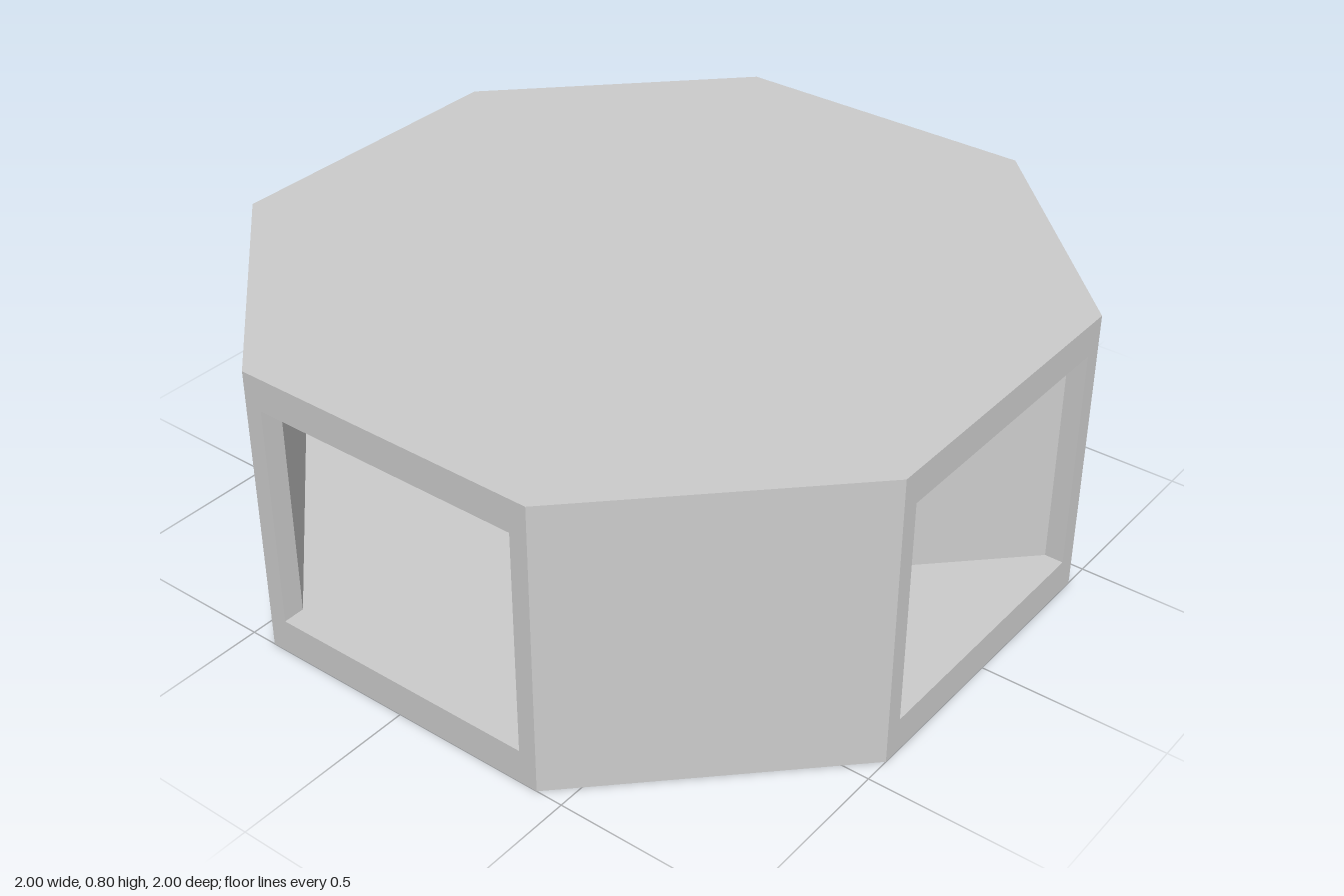
import * as THREE from 'three';

const HEIGHT = 0.8, FLOOR = 0.095, CEILING = 0.71; // slab and opening levels
const CORNER = 0.427, JAMB = 0.378, INNER = 0.94;  // plan dimensions

const material = new THREE.MeshStandardMaterial({ color: 0xcccccc, flatShading: true });

// Upright prism from a plan outline given as [x, z] points
function prism(name, outline, bottom, top) {
  const shape = new THREE.Shape(outline.map(([x, z]) => new THREE.Vector2(x, -z)));
  const geometry = new THREE.ExtrudeGeometry(shape, { depth: top - bottom, bevelEnabled: false });
  geometry.rotateX(-Math.PI / 2).translate(0, bottom, 0);
  const mesh = new THREE.Mesh(geometry, material);
  mesh.name = name;
  return mesh;
}

export function createModel() {
  const group = new THREE.Group();
  group.name = 'octagonalPavilion';

  // Octagonal floor and roof slabs
  const octagon = [
    [CORNER, 1], [1, CORNER], [1, -CORNER], [CORNER, -1],
    [-CORNER, -1], [-1, -CORNER], [-1, CORNER], [-CORNER, 1],
  ];
  group.add(prism('floor', octagon, 0, FLOOR));
  group.add(prism('roof', octagon, CEILING, HEIGHT));

  // Four closed diagonal walls whose ends frame the four openings
  const wall = [
    [CORNER, 1], [1, CORNER], [1, JAMB], [INNER, JAMB], [JAMB, INNER], [JAMB, 1],
  ];
  for (let i = 0; i < 4; i++) {
    const mesh = prism('diagonalWall', wall, FLOOR, CEILING);
    mesh.rotation.y = i * Math.PI / 2;
    group.add(mesh);
  }

  // Inner core block running from the front diagonal wall past the centre
  const start = -0.3, end = 0.95;
  const core = new THREE.Mesh(
    new THREE.BoxGeometry(end - start, CEILING - FLOOR, 0.808), material);
  core.name = 'coreBlock';
  const middle = (start + end) / 2 * Math.SQRT1_2;
  core.position.set(middle, (FLOOR + CEILING) / 2, middle);
  core.rotation.y = -Math.PI / 4;
  group.add(core);

  return group;
}
